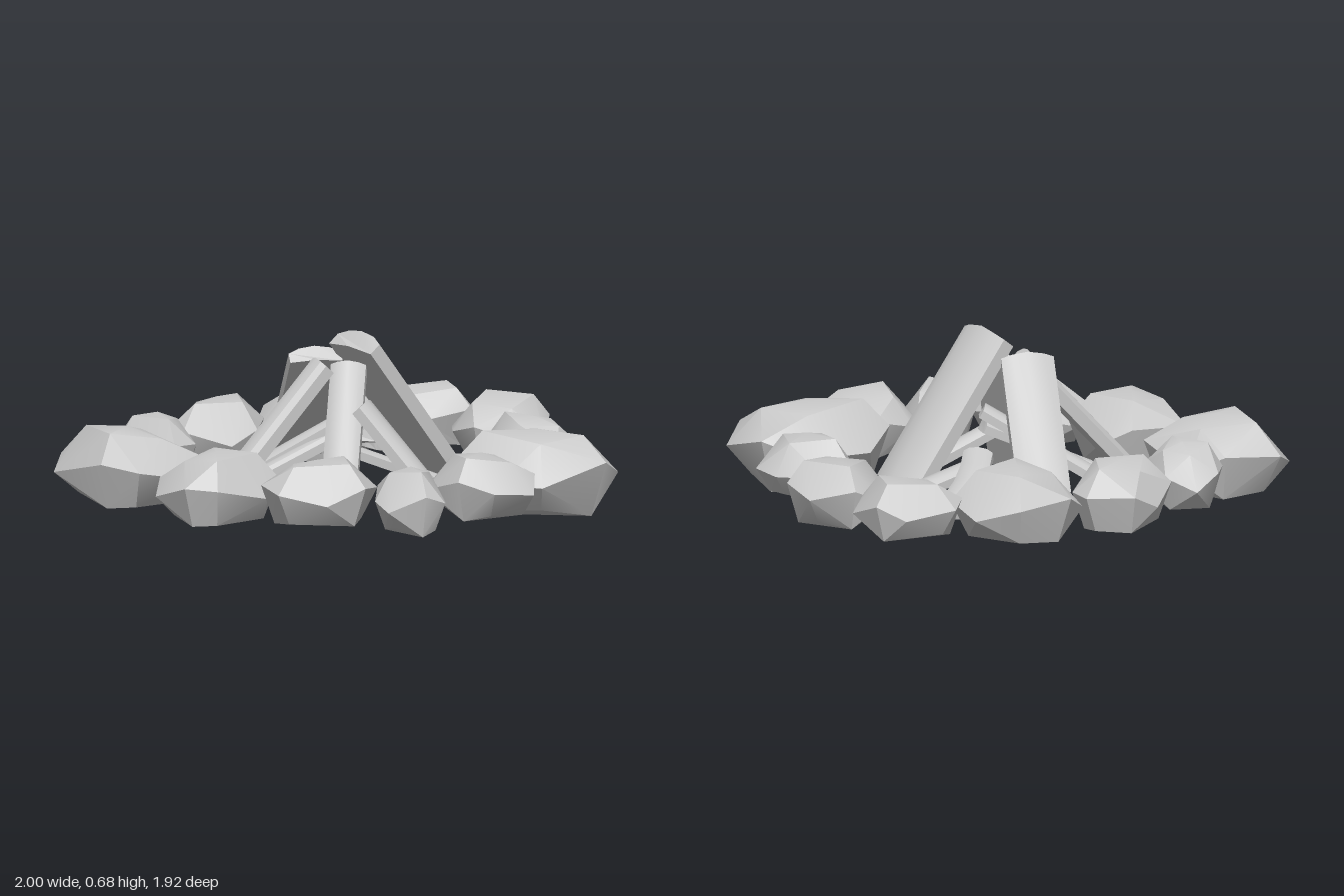
import * as THREE from 'three';
import { ConvexGeometry } from 'three/addons/geometries/ConvexGeometry.js';
import { toCreasedNormals } from 'three/addons/utils/BufferGeometryUtils.js';

const material = new THREE.MeshStandardMaterial({ color: 0xcccccc });

function addMesh(group, name, geometry, crease) {
  const mesh = new THREE.Mesh(toCreasedNormals(geometry, crease), material);
  mesh.name = name;
  group.add(mesh);
  return mesh;
}

// Faceted boulder: hull of a wide waist, a smaller crown and a flattened base,
// each an uneven octagon sheared by skew and sized to width, height and depth.
function addStone(group, index, x, z, width, depth, skew, bottom, top) {
  const points = [new THREE.Vector3(0, 1, 0)];
  for (let i = 0; i < 8; i++) {
    const wobble = Math.sin(index * 2.3 + i * 2.1);
    const angle = (i + 0.5 + 0.15 * Math.sin(index * 1.7 + i * 3.1)) * Math.PI / 4;
    const radius = 1 + 0.04 * Math.cos(index + i * 2.7);
    const dx = radius * Math.cos(angle);
    const dz = radius * Math.sin(angle) + skew * dx;
    const ring = (scale, y) => points.push(new THREE.Vector3(dx * scale, y, dz * scale));
    ring(1, 0.52 + 0.14 * wobble);
    if (i % 2 === index % 2) ring(0.6 + 0.08 * wobble, 0.94 + 0.06 * wobble);
    ring(0.72 + 0.06 * wobble, 0.08 - 0.08 * wobble);
  }
  const box = new THREE.Box3().setFromPoints(points);
  const size = box.getSize(new THREE.Vector3());
  const center = box.getCenter(new THREE.Vector3());
  const target = new THREE.Vector3(width, top - bottom, depth);
  const place = new THREE.Vector3(x, (bottom + top) / 2, z);
  points.forEach((p) => p.sub(center).divide(size).multiply(target).add(place));
  addMesh(group, 'stone' + index, new ConvexGeometry(points), 0.55);
}

// Split log: flat inner face, bevelled outer face, laid from a to b.
function addLog(group, name, a, b, width, thickness, bend = 0) {
  const start = new THREE.Vector3(...a);
  const axis = new THREE.Vector3(...b).sub(start);
  const length = axis.length();
  axis.normalize();
  const w = width / 2;
  const shape = new THREE.Shape([
    [-w, 0], [0, 0], [w, 0], [w, thickness * 0.65], [w * 0.6, thickness * 0.92],
    [0, thickness], [-w * 0.6, thickness * 0.92], [-w, thickness * 0.65],
  ].map(([x, y]) => new THREE.Vector2(x, y)));
  const geometry = new THREE.ExtrudeGeometry(shape, { depth: length, steps: bend ? 4 : 1, bevelEnabled: false });
  // Point the ends slightly and curve the log sideways
  const p = geometry.attributes.position;
  for (let i = 0; i < p.count; i++) {
    const x = p.getX(i);
    const t = p.getZ(i) / length;
    p.setX(i, x + bend * Math.sin(Math.PI * t));
    p.setZ(i, t * length + (2 * t - 1) * 0.12 * (w - Math.abs(x)));
  }
  const mesh = addMesh(group, name, geometry, 0.5);
  const side = new THREE.Vector3(0, 1, 0).cross(axis).normalize();
  const normal = axis.clone().cross(side);
  mesh.quaternion.setFromRotationMatrix(new THREE.Matrix4().makeBasis(side, normal, axis));
  mesh.position.copy(start);
}

export function createModel() {
  const model = new THREE.Group();
  model.name = 'campfire';

  // Ring of stones: x, z, width, depth, skew, bottom, top
  const ring = new THREE.Group();
  ring.name = 'stoneRing';
  model.add(ring);
  const stones = [
    [-0.78, -0.45, 0.44, 0.54, 0.15, 0.02, 0.32],
    [-0.46, -0.675, 0.3, 0.38, -0.1, 0.05, 0.3],
    [-0.095, -0.78, 0.43, 0.37, -0.1, 0.04, 0.3],
    [0.33, -0.67, 0.5, 0.42, 0.1, 0.03, 0.32],
    [0.73, -0.5, 0.38, 0.34, 0.25, 0.06, 0.29],
    [0.8, -0.1, 0.39, 0.45, -0.05, 0.05, 0.3],
    [0.67, 0.29, 0.35, 0.43, 0.1, 0.04, 0.3],
    [0.43, 0.625, 0.56, 0.49, 0.15, 0, 0.33],
    [0.065, 0.745, 0.35, 0.43, 0.12, 0.05, 0.3],
    [-0.265, 0.705, 0.31, 0.33, -0.1, 0.02, 0.28],
    [-0.53, 0.455, 0.42, 0.41, 0.25, 0.05, 0.3],
    [-0.755, 0.09, 0.43, 0.39, 0.12, 0.03, 0.3],
  ];
  stones.forEach((stone, i) => addStone(ring, i + 1, ...stone));

  // Leaning logs
  const logs = new THREE.Group();
  logs.name = 'logPile';
  model.add(logs);
  addLog(logs, 'wideLog', [-0.06, 0.62, 0.05], [0.36, 0.08, 0.05], 0.27, 0.085);
  addLog(logs, 'backLog', [-0.11, 0.55, -0.1], [0.06, 0.1, -0.46], 0.21, 0.07);
  addLog(logs, 'rightLog', [-0.12, 0.53, -0.02], [-0.56, 0.05, -0.1], 0.12, 0.07);
  addLog(logs, 'frontRightLog', [-0.03, 0.53, 0.01], [-0.25, 0.05, 0.23], 0.14, 0.07);
  addLog(logs, 'frontLog', [-0.09, 0.39, 0.14], [0.08, 0.05, 0.39], 0.13, 0.06);

  // Low kindling
  addLog(logs, 'bentStick', [0.13, 0.2, -0.12], [0.49, 0.07, -0.4], 0.12, 0.05, 0.03);
  addLog(logs, 'leftStick', [0.19, 0.16, -0.155], [0.54, 0.08, -0.14], 0.1, 0.05);
  addLog(logs, 'backRightStick', [0.04, 0.34, 0], [-0.31, 0.08, -0.28], 0.1, 0.05);
  addLog(logs, 'sideStick', [0.05, 0.28, -0.02], [-0.39, 0.07, -0.17], 0.08, 0.05);
  addLog(logs, 'frontLeftStick', [-0.15, 0.22, 0.14], [0.26, 0.05, 0.215], 0.09, 0.05);
  return model;
}
